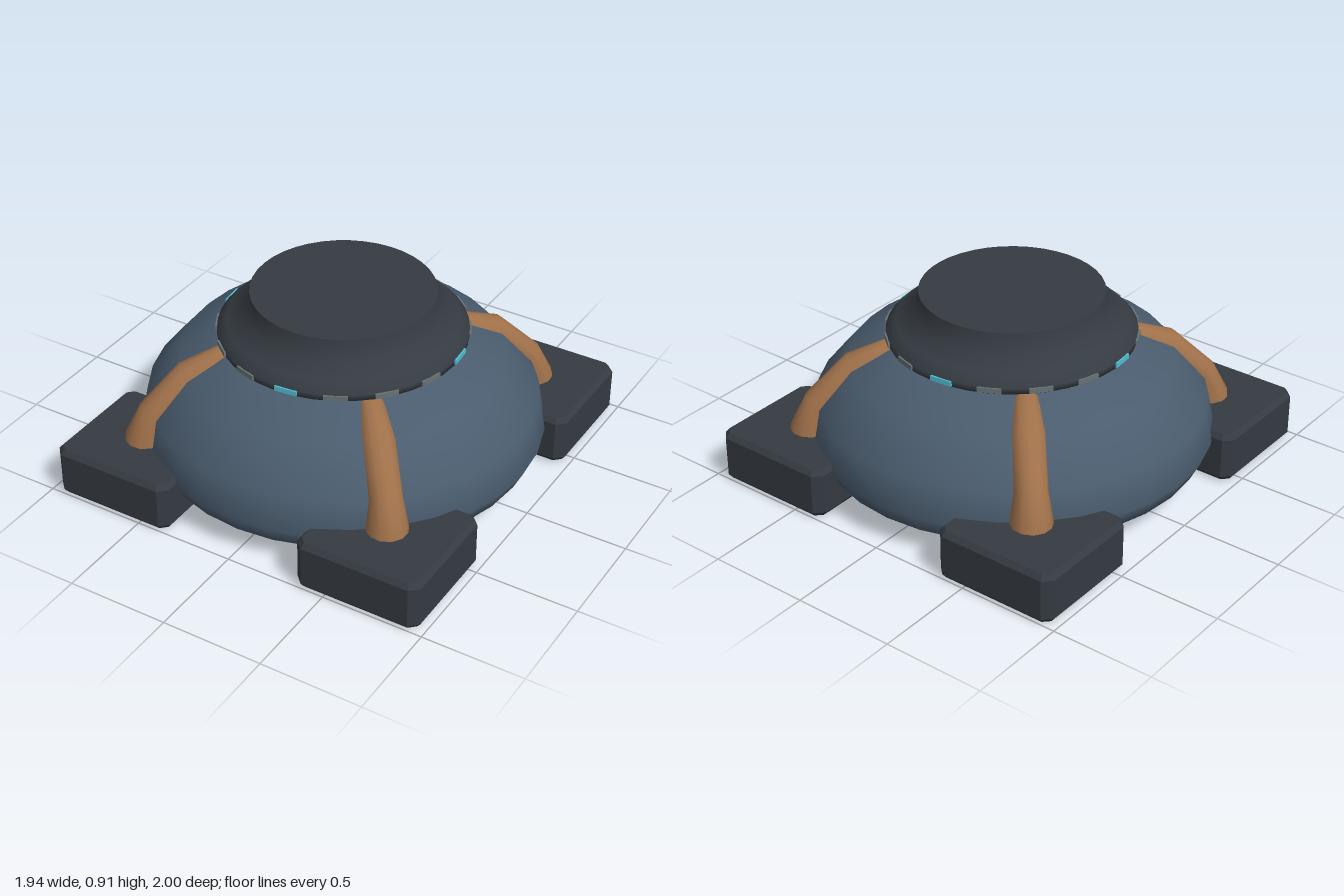
import * as THREE from 'three';

const mat = (name, color) => Object.assign(new THREE.MeshStandardMaterial({ color }), { name });

export function createModel() {
  const model = new THREE.Group();
  model.name = 'landingPod';
  const blue = mat('blueHull', 0x4a5c6e);
  const dark = mat('darkMetal', 0x353b42);
  const copper = mat('copper', 0xa0714a);
  const cyan = mat('cyanLight', 0x4fbdd2);
  const grey = mat('greyWindow', 0x667272);

  const add = (name, geometry, material, parent = model) => {
    const mesh = new THREE.Mesh(geometry, material);
    mesh.name = name;
    parent.add(mesh);
    return mesh;
  };
  const lathe = (points, segments) =>
    new THREE.LatheGeometry(points.map(([r, y]) => new THREE.Vector2(r, y)), segments);

  // Domed hull with a flat underside
  add('hull', lathe([[0.82, 0.07], [0.92, 0.12], [0.965, 0.21], [0.93, 0.38], [0.77, 0.57], [0.56, 0.665], [0.4, 0.7]], 32), blue);
  add('hullBottom', lathe([[0, 0.07], [0.82, 0.07]], 32), blue);

  // Collar and flat lid
  add('collar', lathe([[0.5, 0.657], [0.55, 0.66], [0.59, 0.685], [0.59, 0.715], [0.545, 0.76], [0.457, 0.802], [0.436, 0.907]], 40), dark);
  add('collarBottom', lathe([[0.3, 0.657], [0.5, 0.657]], 40), dark);
  add('lid', lathe([[0.436, 0.907], [0, 0.907]], 40), dark);

  // Ring of thin windows, every fourth one lit
  const windows = new THREE.Group();
  windows.name = 'windowRing';
  model.add(windows);
  for (let i = 0; i < 16; i++) {
    const a = THREE.MathUtils.degToRad(5.4 + i * 22.5);
    const pane = add(i % 4 ? 'window' : 'lightWindow', new THREE.BoxGeometry(0.11, 0.024, 0.009), i % 4 ? grey : cyan, windows);
    pane.position.set(Math.sin(a) * 0.592, 0.702, Math.cos(a) * 0.592);
    pane.rotation.y = a;
  }

  // Foot: block with cut corners and bevelled edges
  const hx = 0.2925, hz = 0.275, c = 0.03;
  const outline = new THREE.Shape([
    [hx, -hz + c], [hx, hz - c], [hx - c, hz], [c - hx, hz],
    [-hx, hz - c], [-hx, c - hz], [c - hx, -hz], [hx - c, -hz],
  ].map(([x, y]) => new THREE.Vector2(x, y)));
  const footGeometry = new THREE.ExtrudeGeometry(outline, {
    depth: 0.2, bevelThickness: 0.025, bevelSize: 0.02, bevelSegments: 1,
  });
  footGeometry.rotateX(-Math.PI / 2).translate(0, 0.025, 0);

  // Leg: bent tube with changing thickness, as x, y, z, radius
  const stations = [
    [0.32, 0.635, 0.33, 0.055], [0.39, 0.625, 0.40, 0.062], [0.505, 0.55, 0.535, 0.082],
    [0.625, 0.38, 0.67, 0.078], [0.655, 0.25, 0.705, 0.098], [0.66, 0.15, 0.71, 0.1],
  ];
  const legGeometry = (sx, sz) => {
    const path = stations.map(([x, y, z]) => new THREE.Vector3(x * sx, y, z * sz));
    const sides = 12, positions = [], index = [];
    const side = new THREE.Vector3(-sz, 0, sx).normalize();
    path.forEach((p, i) => {
      const t = path[Math.min(i + 1, path.length - 1)].clone().sub(path[Math.max(i - 1, 0)]).normalize();
      side.crossVectors(t, new THREE.Vector3(0, 1, 0)).normalize();
      const normal = t.clone().cross(side);
      for (let j = 0; j < sides; j++) {
        const a = (j / sides) * Math.PI * 2, r = stations[i][3];
        const v = p.clone().addScaledVector(side, r * Math.cos(a)).addScaledVector(normal, r * Math.sin(a));
        positions.push(v.x, v.y, v.z);
        if (i < path.length - 1) {
          const k = i * sides, n = (j + 1) % sides;
          index.push(k + j, k + n, k + sides + j, k + n, k + sides + n, k + sides + j);
        }
      }
    });
    const g = new THREE.BufferGeometry();
    g.setAttribute('position', new THREE.Float32BufferAttribute(positions, 3));
    g.setIndex(index);
    g.computeVertexNormals();
    return g;
  };

  for (const sx of [1, -1]) for (const sz of [1, -1]) {
    const support = new THREE.Group();
    support.name = (sz > 0 ? 'front' : 'back') + (sx > 0 ? 'Left' : 'Right') + 'Support';
    model.add(support);
    add('foot', footGeometry, dark, support).position.set(sx * 0.6575, 0, sz * 0.705);
    add('leg', legGeometry(sx, sz), copper, support);
  }
  return model;
}
